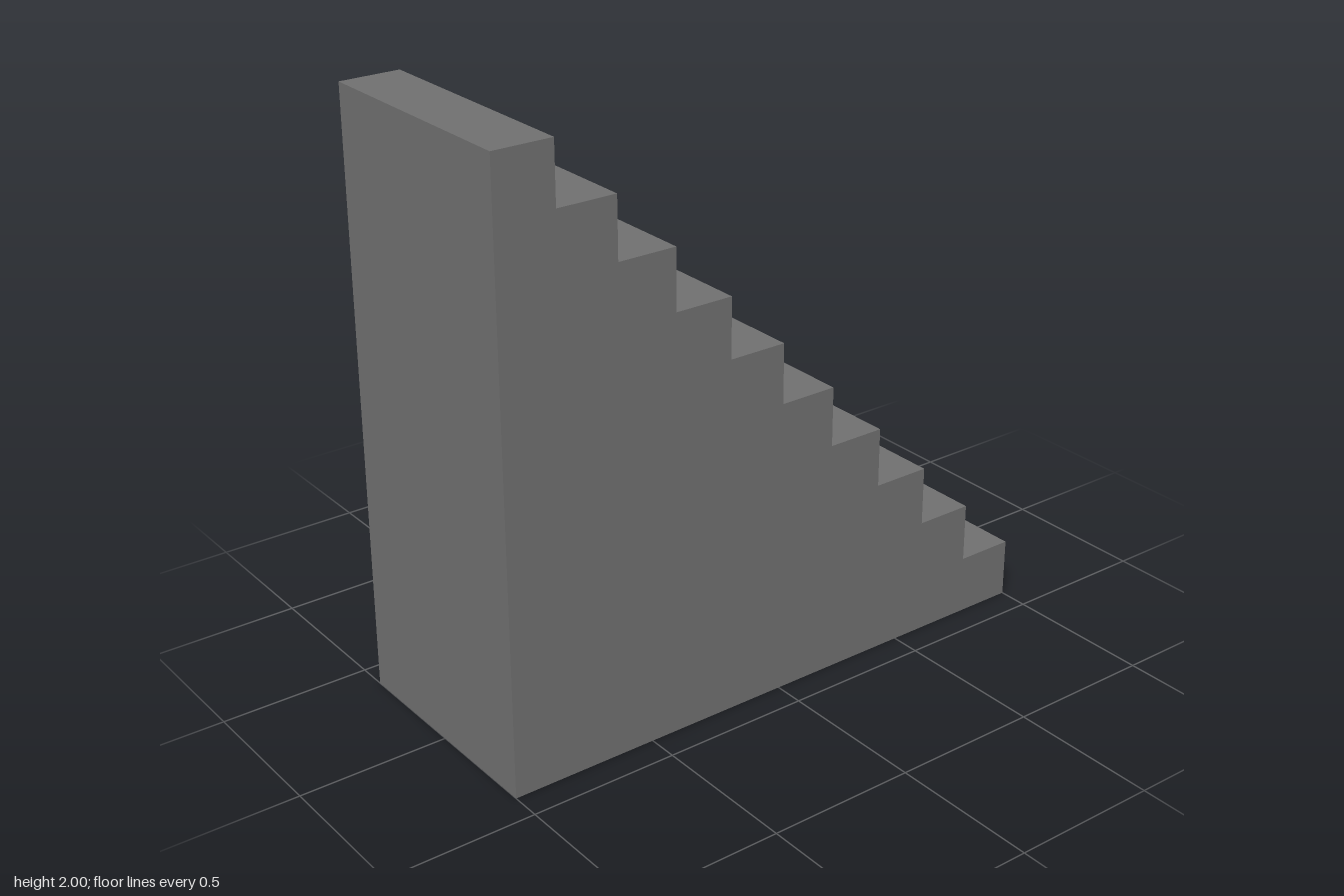
import * as THREE from 'three';

const STEPS = 10, RISE = 0.2, TREAD = 0.2, WIDTH = 0.8;

export function createModel() {
  const group = new THREE.Group();
  group.name = 'staircase';

  // Side profile: flat base, tall wall at the front, steps descending to the back
  const half = (STEPS * TREAD) / 2;
  const profile = new THREE.Shape();
  profile.moveTo(-half, 0);
  profile.lineTo(half, 0);
  for (let i = STEPS; i > 0; i--) {
    profile.lineTo(-half + i * TREAD, i * RISE);
    profile.lineTo(-half + (i - 1) * TREAD, i * RISE);
  }
  profile.closePath();

  // Extrude across the width, then turn the profile to run along z
  const geometry = new THREE.ExtrudeGeometry(profile, { depth: WIDTH, bevelEnabled: false });
  geometry.translate(0, 0, -WIDTH / 2);
  geometry.rotateY(-Math.PI / 2);

  // Dark grey stone
  const material = new THREE.MeshStandardMaterial({ color: 0x6f6f6f, flatShading: true });
  const stairs = new THREE.Mesh(geometry, material);
  stairs.name = 'solidStairs';
  group.add(stairs);
  return group;
}
